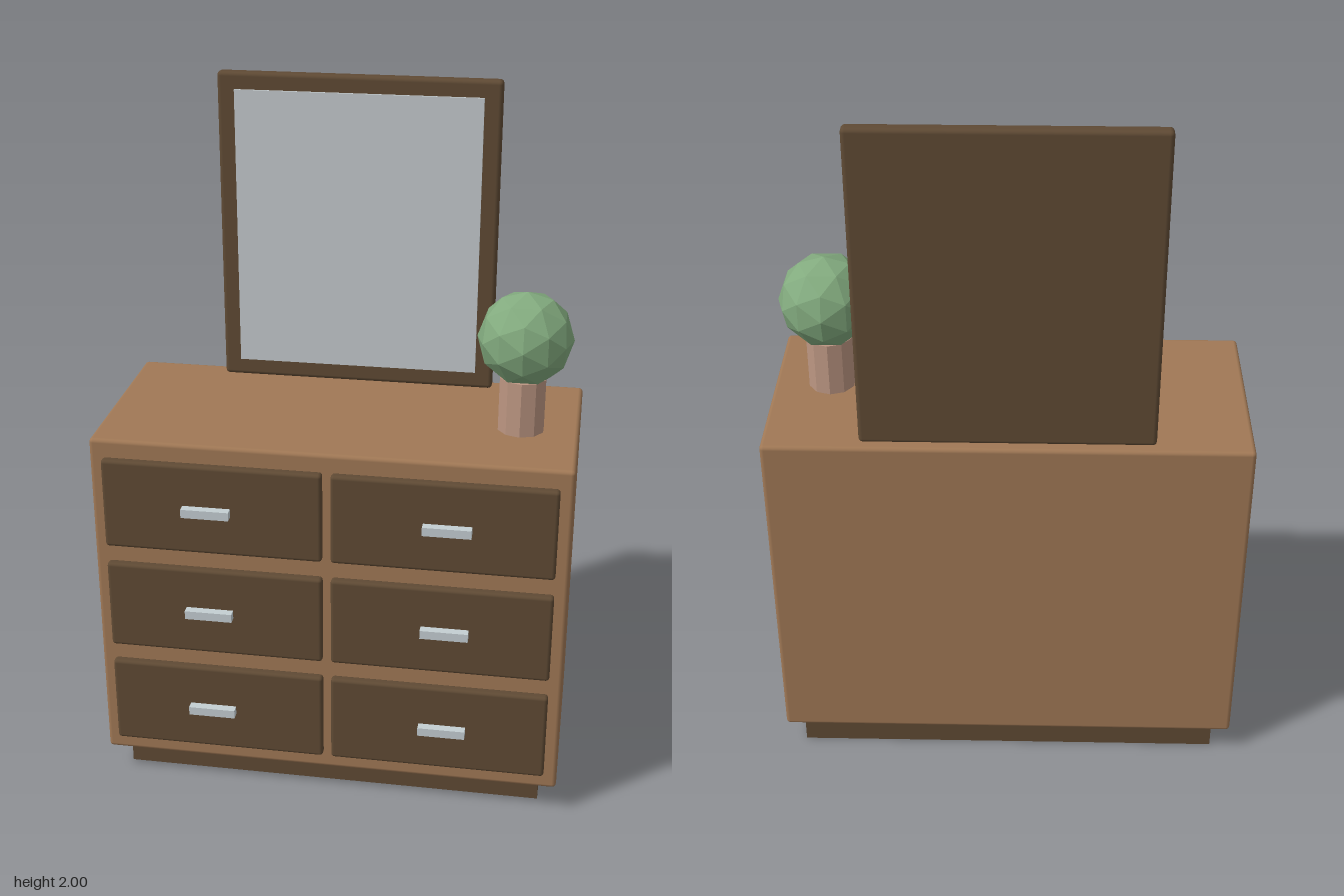
import * as THREE from 'three';
import { RoundedBoxGeometry } from 'three/addons/geometries/RoundedBoxGeometry.js';

function material(name, color, flatShading = false) {
  const m = new THREE.MeshStandardMaterial({ color, flatShading });
  m.name = name;
  return m;
}

export function createModel() {
  const group = new THREE.Group();
  const wood = material('oak wood', 0xa07855);
  const darkWood = material('dark wood', 0x5f4a34);
  const glass = material('mirror glass', 0xc4cacd);
  const metal = material('pale metal', 0xc4ced2);
  const clay = material('clay', 0xbc9682, true);
  const leaf = material('leaf green', 0x82aa7e, true);

  const add = (name, geometry, mat, x, y, z, parent = group) => {
    const mesh = new THREE.Mesh(geometry, mat);
    mesh.name = name;
    mesh.position.set(x, y, z);
    parent.add(mesh);
    return mesh;
  };

  // Cabinet on a recessed plinth
  add('plinth', new THREE.BoxGeometry(1.225, 0.1, 0.505), darkWood, 0, 0.05, -0.0425);
  add('cabinet', new RoundedBoxGeometry(1.33, 1.01, 0.595, 2, 0.012), wood, 0, 0.59, -0.0265);

  // Two columns of three drawers, each with a bar handle
  const frontGeometry = new RoundedBoxGeometry(0.616, 0.266, 0.03, 2, 0.01);
  const handleGeometry = new THREE.BoxGeometry(0.134, 0.025, 0.028);
  for (const side of [-1, 1]) {
    for (let row = 0; row < 3; row++) {
      const drawer = new THREE.Group();
      drawer.name = 'drawer';
      drawer.position.set(side * 0.32, 0.27 + row * 0.32, 0);
      add('drawerFront', frontGeometry, darkWood, 0, 0, 0.28, drawer);
      add('drawerHandle', handleGeometry, metal, side * 0.013, 0, 0.306, drawer);
      group.add(drawer);
    }
  }

  // Mirror standing at the back of the top
  add('mirrorFrame', new RoundedBoxGeometry(0.8, 0.904, 0.04, 2, 0.012), darkWood, 0, 1.548, -0.28);
  add('mirrorGlass', new THREE.BoxGeometry(0.7, 0.805, 0.008), glass, 0, 1.55, -0.257);

  // Potted plant
  add('plantPot', new THREE.CylinderGeometry(0.066, 0.066, 0.157, 10), clay, 0.503, 1.1725, 0.007);
  add('plantFoliage', new THREE.IcosahedronGeometry(0.132, 1), leaf, 0.505, 1.363, 0.007);

  return group;
}
